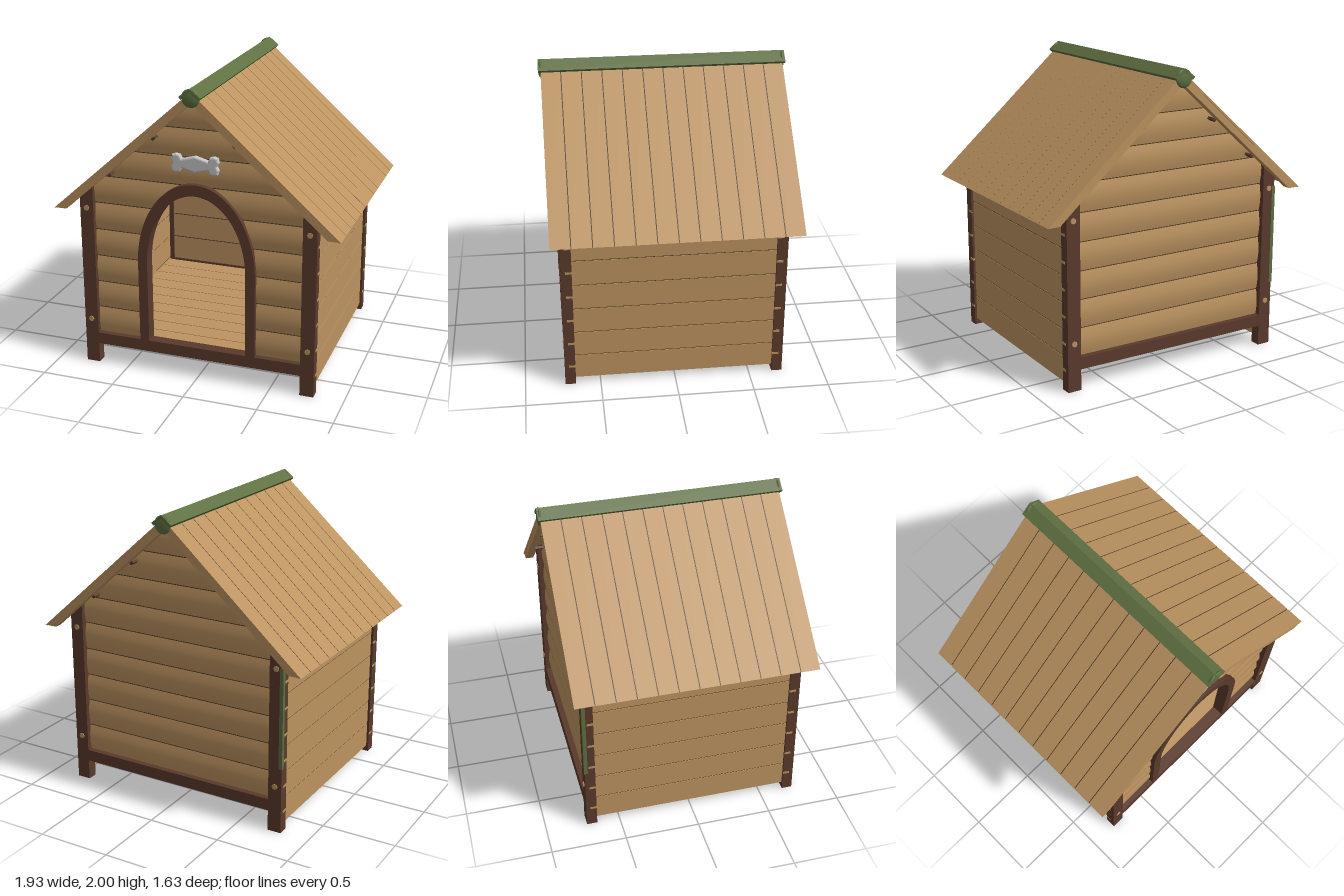
import * as THREE from 'three';

const mat = (name, color, side = THREE.FrontSide) => {
  const m = new THREE.MeshStandardMaterial({ color, side });
  m.name = name;
  return m;
};

export function createModel() {
  const tan = mat('tan wood', 0xbc9360, THREE.DoubleSide);
  const brown = mat('dark brown wood', 0x5a3a2c);
  const joint = mat('board joint', 0x4a3825, THREE.DoubleSide);
  const green = mat('green trim', 0x5f7042);
  const silver = mat('pale grey metal', 0xc6c6c8);

  const root = new THREE.Group();
  root.name = 'dogHouse';
  const body = new THREE.Group();
  body.name = 'body';
  body.position.set(-0.004, 0, 0.005);
  const roof = new THREE.Group();
  roof.name = 'roof';
  root.add(body, roof);

  const add = (parent, name, geo, material) => {
    const m = new THREE.Mesh(geo, material);
    m.name = name;
    parent.add(m);
    return m;
  };
  // box from its limits
  const box = (parent, name, [x0, x1], [y0, y1], [z0, z1], material) => {
    const g = new THREE.BoxGeometry(Math.abs(x1 - x0), y1 - y0, Math.abs(z1 - z0));
    g.translate((x0 + x1) / 2, (y0 + y1) / 2, (z0 + z1) / 2);
    return add(parent, name, g, material);
  };
  // outline in x and y, pulled along z
  const prism = (parent, name, pts, z0, z1, material) => {
    const shape = new THREE.Shape(pts.map(p => new THREE.Vector2(p[0], p[1])));
    const g = new THREE.ExtrudeGeometry(shape, { depth: z1 - z0, bevelEnabled: false });
    g.translate(0, 0, z0);
    return add(parent, name, g, material);
  };
  const mirrored = (pts, s) => pts.map(([x, y]) => [x * s, y]);

  // Gable walls: rows of bulging boards clipped by the roof and the doorway
  const outerEdge = y => Math.max(0, Math.min(0.72, (1.95 - y) / 0.887));
  const doorEdge = y => y < 0.78 ? 0.37 : y > 1.32 ? 0 : 0.37 * Math.sqrt(1 - ((y - 0.78) / 0.54) ** 2);
  const gableStrip = (name, y0, y1, z, bulge, sz, hasDoor, material) => {
    const pos = [], index = [], n = 12;
    for (const sx of [1, -1]) {
      const base = pos.length / 3;
      for (let i = 0; i <= n; i++) {
        const t = i / n, y = y0 + (y1 - y0) * t;
        const zz = sz * (z + bulge * Math.sin(Math.PI * t));
        pos.push(sx * (hasDoor ? doorEdge(y) : 0), y, zz, sx * outerEdge(y), y, zz);
        if (i === n) break;
        const a = base + i * 2;
        if (sx * sz > 0) index.push(a, a + 1, a + 3, a, a + 3, a + 2);
        else index.push(a, a + 3, a + 1, a, a + 2, a + 3);
      }
    }
    const g = new THREE.BufferGeometry();
    g.setAttribute('position', new THREE.Float32BufferAttribute(pos, 3));
    g.setIndex(index);
    g.computeVertexNormals();
    add(body, name, g, material);
  };
  for (const sz of [1, -1]) {
    const side = sz > 0 ? 'front' : 'back', door = sz > 0;
    for (let i = 0; i < 10; i++) {
      const y0 = 0.215 + i * 0.1875, y1 = Math.min(1.95, y0 + 0.1875);
      gableStrip(side + 'WallBoard', y0 + 0.003, y1 - 0.003, 0.69, 0.012, sz, door, tan);
      gableStrip(side + 'WallInside', y0 + 0.003, y1 - 0.003, 0.665, 0, sz, door, tan);
      if (i) {
        gableStrip(side + 'WallJoint', y0 - 0.003, y0 + 0.003, 0.688, 0, sz, door, joint);
        gableStrip(side + 'WallInsideJoint', y0 - 0.003, y0 + 0.003, 0.666, 0, sz, door, joint);
      }
    }
    // Sill between the posts
    box(body, side + 'Sill', [-0.715, 0.715], [0.14, 0.22], [sz * 0.655, sz * 0.73], brown);

    for (const sx of [1, -1]) {
      // Corner post with its top cut to the roof slope
      const post = mirrored([[0.71, 0], [0.803, 0], [0.803, 1.24], [0.71, 1.32]], sx);
      prism(body, side + 'Post', post, sz > 0 ? 0.66 : -0.73, sz > 0 ? 0.73 : -0.66, brown);
      // Bolts
      for (const y of [0.32, 1.12]) {
        const g = new THREE.CylinderGeometry(0.019, 0.019, 0.01, 8).rotateX(Math.PI / 2);
        g.translate(sx * 0.757, y, sz * 0.731);
        add(body, 'bolt', g, tan);
      }
      // Board tongues let into the posts
      for (let i = 0; i < 6; i++) {
        const y = 0.14 + i * 0.178;
        box(body, 'boardTongue', [sx * 0.78, sx * 0.805], [y - 0.008, y + 0.008], [sz * 0.66, sz * 0.703], tan);
      }
      // Rafter on the overhang with small brackets
      const rafter = mirrored([[0, 1.957], [0.945, 1.12], [0.88, 1.12], [0, 1.9]], sx);
      prism(roof, side + 'Rafter', rafter, sz > 0 ? 0.738 : -0.793, sz > 0 ? 0.793 : -0.738, tan);
      for (const [x, y] of [[0.268, 1.645], [0.578, 1.372]]) {
        const b = add(roof, 'rafterBracket', new THREE.BoxGeometry(0.025, 0.016, 0.06), brown);
        b.position.set(sx * x, y, sz * 0.73);
        b.rotation.z = sx * -0.725;
      }
    }
  }

  // Side walls
  for (const sx of [1, -1]) {
    for (let i = 0; i < 7; i++) {
      const y0 = 0.043 + i * 0.178, y1 = Math.min(1.25, y0 + 0.178);
      box(body, 'sideWallBoard', [sx * 0.745, sx * 0.787], [y0, y1 - 0.006], [-0.665, 0.665], tan);
      if (i) box(body, 'sideWallJoint', [sx * 0.748, sx * 0.784], [y0 - 0.006, y0], [-0.66, 0.66], joint);
    }
  }

  // Floor
  const floorPitch = 1.32 / 10;
  for (let i = 0; i < 10; i++) {
    const z = -0.66 + i * floorPitch;
    box(body, 'floorBoard', [-0.745, 0.745], [0.16, 0.205], [z + 0.003, z + floorPitch - 0.003], tan);
    if (i) box(body, 'floorJoint', [-0.74, 0.74], [0.163, 0.202], [z - 0.003, z + 0.003], joint);
  }

  // Arched door frame
  const arch = (Path, w, top) => {
    const p = new Path();
    p.moveTo(w, 0.21);
    p.lineTo(w, 0.78);
    p.absellipse(0, 0.78, w, top - 0.78, 0, Math.PI, false, 0);
    p.lineTo(-w, 0.21);
    p.closePath();
    return p;
  };
  const frame = arch(THREE.Shape, 0.402, 1.36);
  frame.holes.push(arch(THREE.Path, 0.338, 1.285));
  const frameGeo = new THREE.ExtrudeGeometry(frame, { depth: 0.085, bevelEnabled: false, curveSegments: 28 });
  add(body, 'doorFrame', frameGeo.translate(0, 0, 0.645), brown);

  // Bone plaque above the door
  const quarter = [[0, 0.048], [0.09, 0.024], [0.104, 0.05], [0.125, 0.056], [0.147, 0.05], [0.153, 0.025], [0.14, 0]];
  const back = [...quarter].reverse();
  const bonePts = [
    ...quarter,
    ...back.slice(1).map(([x, y]) => [x, -y]),
    ...quarter.slice(1).map(([x, y]) => [-x, -y]),
    ...back.slice(1, -1).map(([x, y]) => [-x, y]),
  ];
  const bone = new THREE.Shape(bonePts.map(p => new THREE.Vector2(p[0], p[1])));
  const boneGeo = new THREE.ExtrudeGeometry(bone, {
    depth: 0.015, bevelEnabled: true, bevelThickness: 0.012, bevelSize: 0.012, bevelOffset: -0.006, bevelSegments: 3,
  });
  add(body, 'bonePlaque', boneGeo.translate(0, 1.493, 0.7), silver);

  // Narrow green strip on one back post
  box(body, 'postStrip', [-0.808, -0.783], [0.45, 1.13], [-0.734, -0.71], green);

  // Roof boards
  const board = [[0, 1.975], [0.963, 1.12], [0.943, 1.12], [0, 1.957]];
  const seam = [[0, 1.971], [0.958, 1.121], [0.947, 1.121], [0, 1.96]];
  const pitch = 1.6 / 12;
  for (const sx of [1, -1]) {
    for (let i = 0; i < 12; i++) {
      const z = -0.8 + i * pitch;
      prism(roof, 'roofBoard', mirrored(board, sx), z + 0.003, z + pitch - 0.003, tan);
      if (i) prism(roof, 'roofJoint', mirrored(seam, sx), z - 0.003, z + 0.003, joint);
    }
  }

  // Ridge cap with rounded ends
  const cap = [[0, 2], [0.072, 1.945], [0.058, 1.928], [0, 1.975], [-0.058, 1.928], [-0.072, 1.945]];
  prism(roof, 'ridgeCap', cap, -0.813, 0.813, green);
  for (const sz of [1, -1]) {
    const end = add(roof, 'ridgeEnd', new THREE.SphereGeometry(0.06, 16, 10), green);
    end.scale.z = 0.3;
    end.position.set(0, 1.937, sz * 0.796);
  }

  return root;
}
